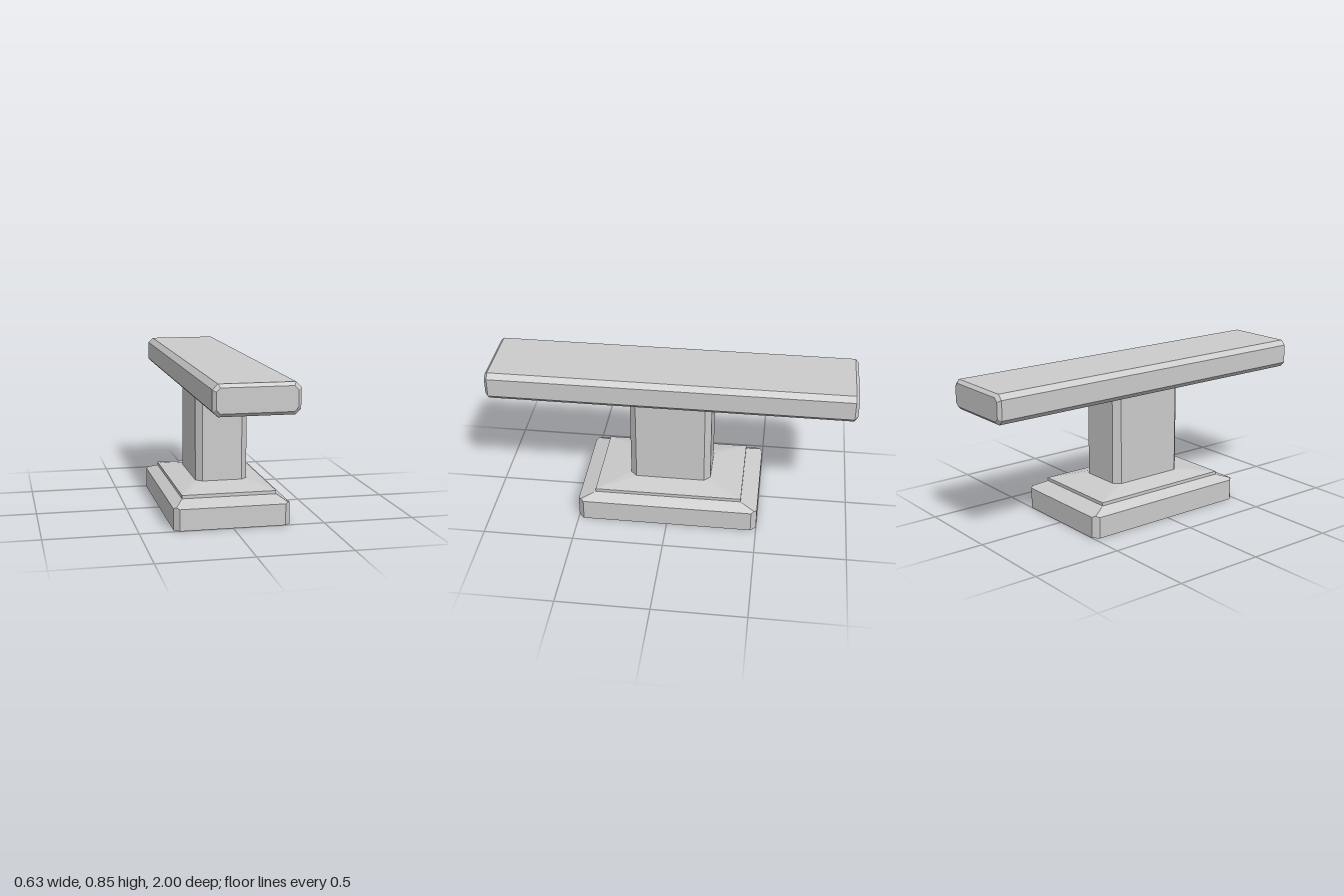
import * as THREE from 'three';

const material = new THREE.MeshStandardMaterial({ color: 0xcccccc, flatShading: true });

// Rectangle with cut corners: three points per corner, the middle one may be lifted
function ring({ y, x, z, c = 0, lift = 0 }) {
  const points = [];
  for (const [sx, sz] of [[1, 1], [-1, 1], [-1, -1], [1, -1]]) {
    const corner = [
      new THREE.Vector3(sx * x, y, sz * (z - c)),
      new THREE.Vector3(sx * (x - c / 2), y + lift, sz * (z - c / 2)),
      new THREE.Vector3(sx * (x - c), y, sz * z),
    ];
    points.push(...(sx * sz > 0 ? corner : corner.reverse()));
  }
  return points;
}

// Skins a stack of rings, listed from bottom to top, and closes both ends
function loft(levels) {
  const rings = levels.map(ring);
  const positions = [];
  const triangle = (a, b, c) => {
    const area = b.clone().sub(a).cross(c.clone().sub(a)).length();
    if (area > 1e-8) for (const p of [a, b, c]) positions.push(p.x, p.y, p.z);
  };
  for (let i = 0; i < rings.length - 1; i++) {
    const low = rings[i], high = rings[i + 1];
    for (let j = 0; j < low.length; j++) {
      const k = (j + 1) % low.length;
      triangle(low[j], high[j], low[k]);
      triangle(low[k], high[j], high[k]);
    }
  }
  const bottom = rings[0], top = rings[rings.length - 1];
  for (let j = 1; j < bottom.length - 1; j++) {
    triangle(bottom[0], bottom[j], bottom[j + 1]);
    triangle(top[0], top[j + 1], top[j]);
  }
  const geometry = new THREE.BufferGeometry();
  geometry.setAttribute('position', new THREE.Float32BufferAttribute(positions, 3));
  geometry.computeVertexNormals();
  return geometry;
}

function part(name, geometry) {
  const mesh = new THREE.Mesh(geometry, material);
  mesh.name = name;
  return mesh;
}

export function createModel() {
  const group = new THREE.Group();
  group.name = 'pedestalBeam';

  // Stepped foot: plinth, sloped shoulder, small riser, shallow slope to the post
  group.add(part('base', loft([
    { y: 0, x: 0.315, z: 0.5, c: 0.03 },
    { y: 0.117, x: 0.315, z: 0.5, c: 0.03, lift: 0.007 },
    { y: 0.15, x: 0.257, z: 0.407 },
    { y: 0.168, x: 0.257, z: 0.407 },
    { y: 0.195, x: 0.143, z: 0.225, c: 0.034 },
  ])));

  // Upright with cut corners
  group.add(part('post', loft([
    { y: 0.19, x: 0.143, z: 0.225, c: 0.034 },
    { y: 0.7, x: 0.143, z: 0.225, c: 0.034 },
  ])));

  // Long bevelled beam, lofted along its length and laid down along z
  const beam = loft([
    { y: -1, x: 0.199, z: 0.062, c: 0.02 },
    { y: -0.983, x: 0.216, z: 0.079, c: 0.027 },
    { y: 0.983, x: 0.216, z: 0.079, c: 0.027 },
    { y: 1, x: 0.199, z: 0.062, c: 0.02 },
  ]);
  beam.rotateX(Math.PI / 2);
  beam.translate(0, 0.769, 0);
  group.add(part('beam', beam));

  return group;
}
